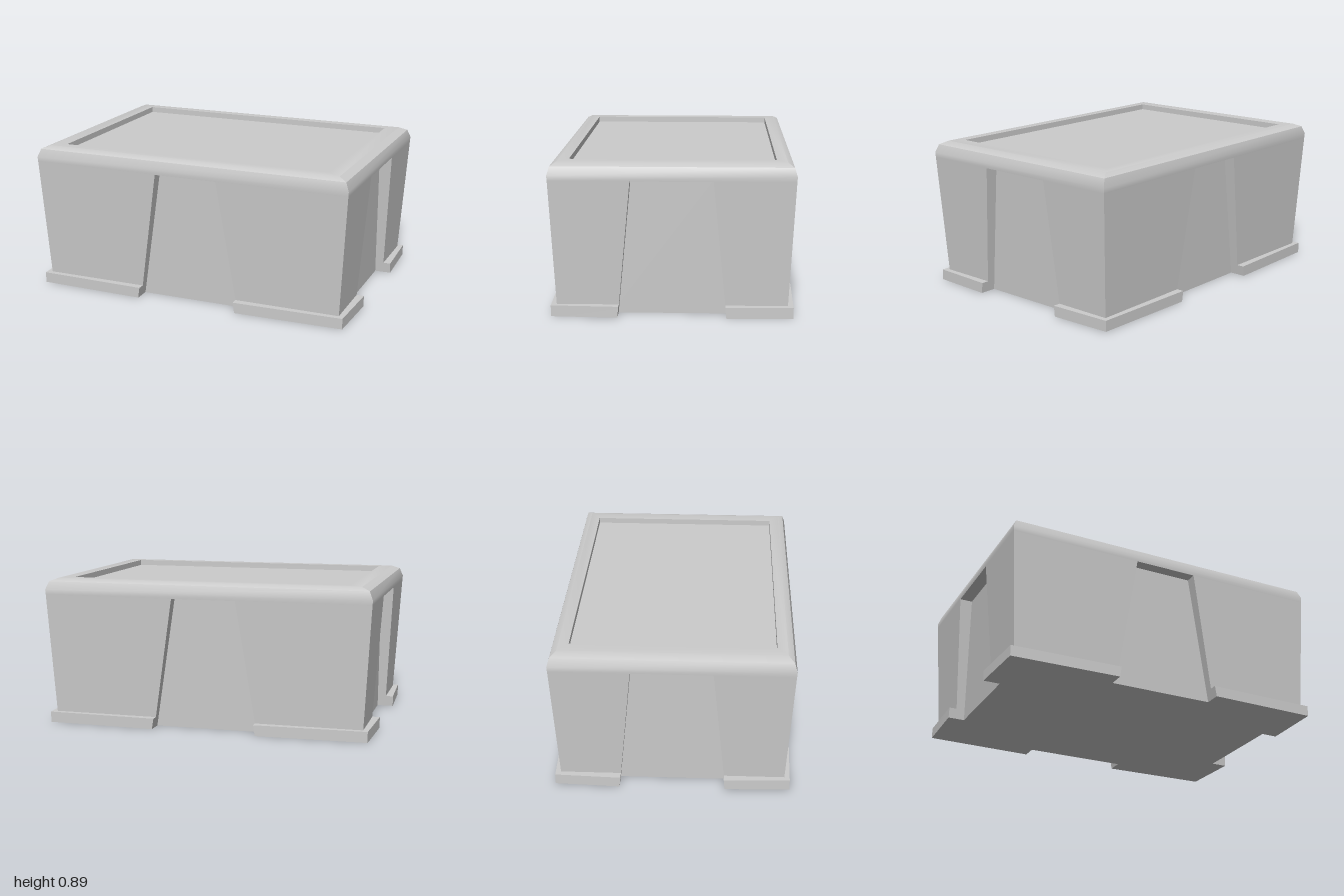
import * as THREE from 'three';
import { toCreasedNormals } from 'three/addons/utils/BufferGeometryUtils.js';

const FOOT_TOP = 0.065, GROOVE_TOP = 0.795;
const lerp = THREE.MathUtils.lerp;

// Repeat one quadrant's [x, z] points around all four corners, front to right to back to left
function mirrorQuadrant(points) {
  const ring = [];
  for (const [sx, sz] of [[1, 1], [1, -1], [-1, -1], [-1, 1]]) {
    const part = points.map(([x, z]) => [x * sx, z * sz]);
    ring.push(...(sx * sz > 0 ? part : part.reverse()));
  }
  return ring;
}

// Outline with a tapering groove in the middle of each side
function groovedRing(y, cornerX, cornerZ, edgeX, edgeZ) {
  const t = y / GROOVE_TOP;
  const ux = lerp(0.32, 0.195, t), uz = lerp(0.312, 0.235, t);
  const dx = lerp(0.9, 0.92, t), dz = lerp(0.61, 0.628, t);
  return {
    y,
    ring: mirrorQuadrant([[ux, dz], [ux, edgeZ], [cornerX, cornerZ], [edgeX, uz], [dx, uz]]),
  };
}

const rectRing = (y, x, z) => ({ y, ring: mirrorQuadrant([[x, z]]) });

// Skin a stack of matching rings, with optional end caps
function loft(sections, { capStart = false, capEnd = false, crease = 0.6 } = {}) {
  const pos = [];
  const rings = sections.map(({ y, ring }) => ring.map(([x, z]) => [x, y, z]));
  const tri = (a, b, c) => pos.push(...a, ...b, ...c);
  for (let s = 0; s < rings.length - 1; s++) {
    const lo = rings[s], hi = rings[s + 1];
    lo.forEach((a, i) => {
      const j = (i + 1) % lo.length;
      tri(a, lo[j], hi[j]);
      tri(a, hi[j], hi[i]);
    });
  }
  const cap = (ring, up) => {
    const flat = ring.map(([x, , z]) => new THREE.Vector2(x, -z));
    for (const [a, b, c] of THREE.ShapeUtils.triangulateShape(flat, [])) {
      if (up) tri(ring[a], ring[b], ring[c]);
      else tri(ring[a], ring[c], ring[b]);
    }
  };
  if (capStart) cap(rings[0], false);
  if (capEnd) cap(rings[rings.length - 1], true);
  const geometry = new THREE.BufferGeometry();
  geometry.setAttribute('position', new THREE.Float32BufferAttribute(pos, 3));
  return toCreasedNormals(geometry, crease);
}

export function createModel() {
  const group = new THREE.Group();
  const material = new THREE.MeshStandardMaterial({ color: 0xcccccc });
  const add = (name, geometry) => {
    const mesh = new THREE.Mesh(geometry, material);
    mesh.name = name;
    group.add(mesh);
  };

  // Base slab with corner feet, edges bowed slightly outward toward the grooves
  add('baseFeet', loft([
    groovedRing(0, 0.985, 0.695, 1, 0.71),
    groovedRing(FOOT_TOP, 0.985, 0.695, 1, 0.71),
  ], { capStart: true, capEnd: true, crease: 0.02 }));

  // Flared walls with a groove on each side
  add('groovedBody', loft([
    groovedRing(FOOT_TOP, 0.954, 0.664, 0.954, 0.664),
    groovedRing(GROOVE_TOP, 0.998, 0.698, 0.998, 0.698),
  ], { crease: 0.02 }));

  // Rounded rim and recessed top panel; its underside closes the grooves
  add('rimAndTopPanel', loft([
    rectRing(GROOVE_TOP, 0.998, 0.698),
    rectRing(0.825, 1, 0.7),
    rectRing(0.875, 0.98, 0.685),
    rectRing(0.895, 0.93, 0.65),
    rectRing(0.895, 0.85, 0.59),
    rectRing(0.86, 0.85, 0.59),
  ], { capStart: true, capEnd: true }));

  return group;
}
